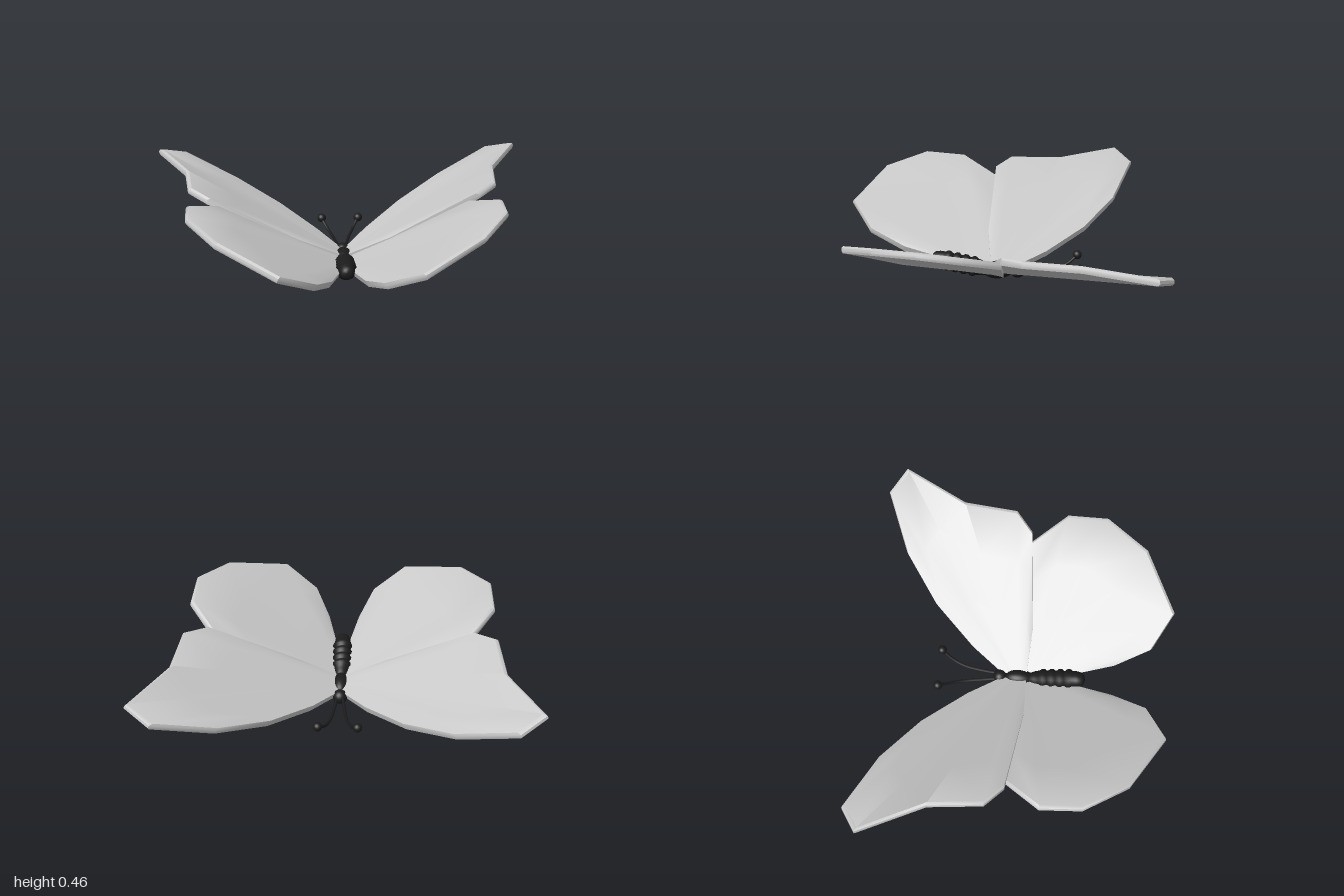
import * as THREE from 'three';
import { toCreasedNormals } from 'three/addons/utils/BufferGeometryUtils.js';

const wingMat = new THREE.MeshStandardMaterial({ color: 0xcccccc });
const bodyMat = new THREE.MeshStandardMaterial({ color: 0x1c1c1c });
const V = (x, y, z) => new THREE.Vector3(x, y, z);

// Outer edges run from the front of the wing to the back; roots lie in the body.
const foreWing = {
  roots: [V(0.02, 0.05, -0.09), V(0.02, 0.065, 0.04)],
  edge: [[0.14, 0.085, -0.26], [0.34, 0.15, -0.48], [0.58, 0.235, -0.66], [0.87, 0.35, -0.785], [0.995, 0.4, -0.7],
    [0.83, 0.395, -0.37], [0.8, 0.41, -0.09], [0.7, 0.385, 0], [0.25, 0.165, 0.05]],
};
const hindWing = {
  roots: [V(0.02, 0.045, 0), V(0.02, 0.075, 0.22)],
  edge: [[0.3, 0.15, -0.02], [0.66, 0.345, 0], [0.795, 0.425, 0.18], [0.785, 0.45, 0.39],
    [0.64, 0.415, 0.61], [0.345, 0.31, 0.78], [0.17, 0.215, 0.68], [0.09, 0.14, 0.5]],
};

// Thick shell: spokes fan from root to edge; each goes out on top and back below.
function wingGeometry({ roots, edge }, side) {
  const h = 0.018;
  const path = [[0, 1], [0.35, 1], [0.7, 1], [0.985, 1], [1, 0.4], [1, -0.4], [0.99, -1], [0.7, -1], [0.35, -1], [0, -1]];
  const last = edge.length - 1;
  const pos = [], index = [];
  for (let s = -1; s <= last + 1; s++) {
    const i = THREE.MathUtils.clamp(s, 0, last);
    const thick = s === i ? h : 0; // closes the front and back edges
    const root = roots[0].clone().lerp(roots[1], i / last);
    const tip = V(...edge[i]);
    for (const [t, k] of path) {
      const p = root.clone().lerp(tip, t);
      pos.push(side * (p.x - 0.42 * k * thick), p.y + 0.91 * k * thick, p.z);
    }
  }
  const n = path.length;
  for (let s = 0; s < last + 2; s++) {
    for (let v = 0; v < n - 1; v++) {
      const a = s * n + v, b = a + n, c = b + 1, d = a + 1;
      if (side > 0) index.push(a, b, c, a, c, d);
      else index.push(a, c, b, a, d, c);
    }
  }
  const geo = new THREE.BufferGeometry();
  geo.setAttribute('position', new THREE.Float32BufferAttribute(pos, 3));
  geo.setIndex(index);
  return toCreasedNormals(geo, 0.75);
}

export function createModel() {
  const model = new THREE.Group();
  const add = (name, geo, mat, x = 0, y = 0, z = 0) => {
    const mesh = new THREE.Mesh(geo, mat);
    mesh.name = name;
    mesh.position.set(x, y, z);
    model.add(mesh);
    return mesh;
  };

  // Head and thorax
  add('head', new THREE.SphereGeometry(0.038, 20, 14), bodyMat, 0, 0.046, -0.1);
  add('thorax', new THREE.SphereGeometry(0.047, 24, 16), bodyMat, 0, 0.052, 0.005).scale.set(0.95, 1, 1.7);

  // Ringed abdomen, rising towards the tail
  const profile = [[0, 0], [0.03, 0.005], [0.04, 0.04]];
  for (let i = 0; i < 4; i++) {
    const y = 0.065 + i * 0.046;
    profile.push([0.044, y], [0.053, y + 0.012], [0.053, y + 0.026], [0.044, y + 0.038]);
  }
  profile.push([0.042, 0.27], [0.033, 0.295], [0.018, 0.304], [0, 0.306]);
  const abdomen = new THREE.LatheGeometry(profile.map(([r, y]) => new THREE.Vector2(r, y)).reverse(), 24);
  // Profile is listed from tail to base, so the faces are turned outwards again
  const idx = abdomen.index.array;
  for (let i = 0; i < idx.length; i += 3) [idx[i + 1], idx[i + 2]] = [idx[i + 2], idx[i + 1]];
  abdomen.computeVertexNormals();
  add('abdomen', abdomen, bodyMat, 0, 0.053, 0.05).rotation.x = Math.PI / 2 - 0.24;

  for (const side of [1, -1]) {
    const label = side > 0 ? 'left' : 'right';
    add(label + 'ForeWing', wingGeometry(foreWing, side), wingMat);
    add(label + 'HindWing', wingGeometry(hindWing, side), wingMat);

    // Antenna with a round club at its end
    const curve = new THREE.CatmullRomCurve3([V(0.015 * side, 0.05, -0.11), V(0.027 * side, 0.038, -0.2),
      V(0.043 * side, 0.036, -0.29), V(0.068 * side, 0.052, -0.36), V(0.1 * side, 0.09, -0.42)]);
    add(label + 'Antenna', new THREE.TubeGeometry(curve, 24, 0.008, 8), bodyMat);
    add(label + 'AntennaClub', new THREE.SphereGeometry(0.024, 16, 12), bodyMat, 0.1 * side, 0.092, -0.42);
  }
  return model;
}
